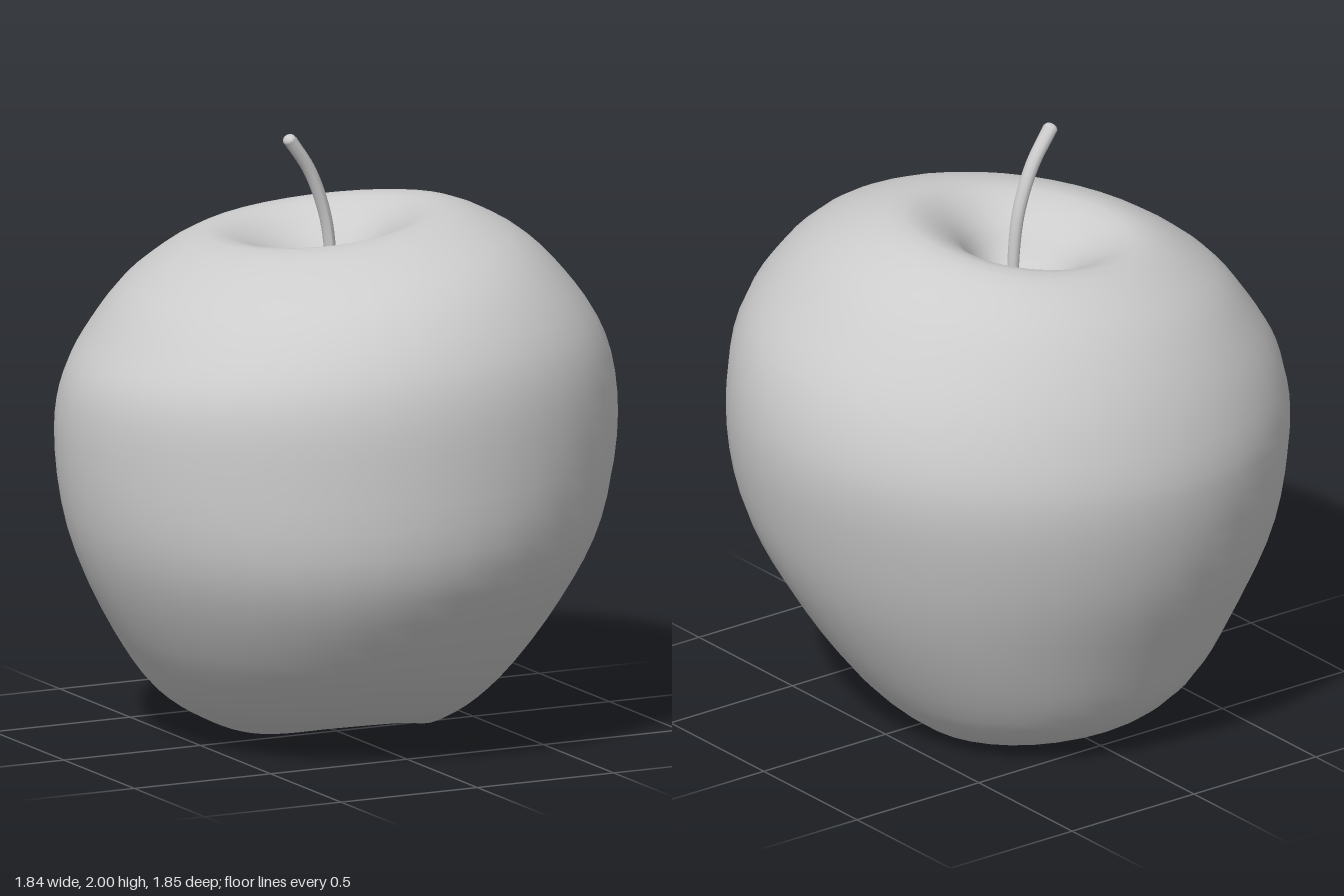
import * as THREE from 'three';

// Profiles [radius, height] from the bottom pocket up to the stem pocket,
// one for each side of the fruit
const LEFT = [[0, .26], [.06, .21], [.16, .07], [.31, .003], [.41, .05], [.54, .17], [.75, .49], [.86, .76],
  [.915, 1.07], [.87, 1.31], [.75, 1.5], [.59, 1.66], [.37, 1.745], [.2, 1.66], [.09, 1.5], [0, 1.44]];
const FRONT = [[0, .26], [.06, .22], [.14, .12], [.25, .075], [.405, .11], [.565, .22], [.725, .39], [.895, .68],
  [.925, 1.02], [.895, 1.31], [.775, 1.51], [.615, 1.63], [.33, 1.71], [.17, 1.62], [.08, 1.5], [0, 1.44]];
const RIGHT = [[0, .26], [.06, .21], [.15, .08], [.28, .02], [.41, .06], [.57, .16], [.73, .36], [.88, .68],
  [.92, 1.02], [.895, 1.21], [.81, 1.35], [.68, 1.5], [.4, 1.655], [.22, 1.61], [.1, 1.5], [0, 1.44]];
const BACK = [[0, .26], [.07, .21], [.2, .08], [.42, .025], [.55, .07], [.655, .175], [.76, .39], [.88, .7],
  [.925, 1.02], [.88, 1.23], [.79, 1.42], [.655, 1.58], [.46, 1.675], [.29, 1.6], [.15, 1.48], [0, 1.44]];

const SIDES = 40, ROWS = 60;

// Smooth blend of four side values around the axis
function blend(l, f, r, b, a) {
  const mean = (l + f + r + b) / 4;
  return mean + (l - r) / 2 * Math.cos(a) + (f - b) / 2 * Math.sin(a)
    + (l + r - f - b) / 4 * Math.cos(2 * a);
}

function fruitGeometry() {
  const curves = [LEFT, FRONT, RIGHT, BACK].map(p =>
    new THREE.CatmullRomCurve3(p.map(([r, y]) => new THREE.Vector3(r, y, 0)), false, 'centripetal'));
  const pos = [], index = [];
  const at = (row, s) => row === 0 ? 0 : row === ROWS ? 1 + (ROWS - 1) * SIDES
    : 1 + (row - 1) * SIDES + s % SIDES;
  for (let row = 0; row <= ROWS; row++) {
    const [l, f, r, b] = curves.map(c => c.getPoint(row / ROWS));
    const pole = row === 0 || row === ROWS;
    for (let s = 0; s < (pole ? 1 : SIDES); s++) {
      const a = s / SIDES * Math.PI * 2;
      const rad = pole ? 0 : blend(l.x, f.x, r.x, b.x, a);
      pos.push(rad * Math.cos(a), blend(l.y, f.y, r.y, b.y, a), rad * Math.sin(a));
    }
  }
  for (let row = 0; row < ROWS; row++) {
    for (let s = 0; s < SIDES; s++) {
      const a = at(row, s), b = at(row, s + 1), c = at(row + 1, s), d = at(row + 1, s + 1);
      if (row > 0) index.push(a, d, b);
      if (row < ROWS - 1) index.push(a, c, d);
      else index[index.length - 2] = c;
    }
  }
  const g = new THREE.BufferGeometry();
  g.setAttribute('position', new THREE.Float32BufferAttribute(pos, 3));
  g.setIndex(index);
  g.computeVertexNormals();
  return g;
}

// Curved stalk, a little thicker towards the rounded tip
function stemGeometry() {
  const path = new THREE.CatmullRomCurve3([[-.01, 1.4], [-.015, 1.58], [-.035, 1.72], [-.09, 1.87], [-.165, 1.983]]
    .map(([x, y]) => new THREE.Vector3(x, y, -.015)));
  const rows = 24, sides = 12;
  const g = new THREE.TubeGeometry(path, rows, 1, sides, false);
  const p = g.attributes.position, v = new THREE.Vector3();
  for (let i = 0; i < p.count; i++) {
    const t = Math.floor(i / (sides + 1)) / rows;
    const c = path.getPointAt(t);
    v.fromBufferAttribute(p, i).sub(c);
    const radius = .02 + .006 * t;
    v.set(v.x * radius * .85, v.y * radius * .85, v.z * radius * 1.05).add(c);
    p.setXYZ(i, v.x, v.y, v.z);
  }
  g.computeVertexNormals();
  return g;
}

export function createModel() {
  const model = new THREE.Group();
  model.name = 'apple';
  const grey = new THREE.MeshStandardMaterial({ color: 0xcccccc });
  grey.name = 'plain grey';
  const add = (name, geometry) => {
    const mesh = new THREE.Mesh(geometry, grey);
    mesh.name = name;
    model.add(mesh);
    return mesh;
  };
  add('fruit', fruitGeometry());
  add('stem', stemGeometry());

  // Rounded end of the stalk
  const tip = add('stemTip', new THREE.SphereGeometry(1, 12, 8));
  tip.scale.set(.022, .018, .027);
  tip.rotation.z = .6;
  tip.position.set(-.165, 1.981, -.015);
  return model;
}
